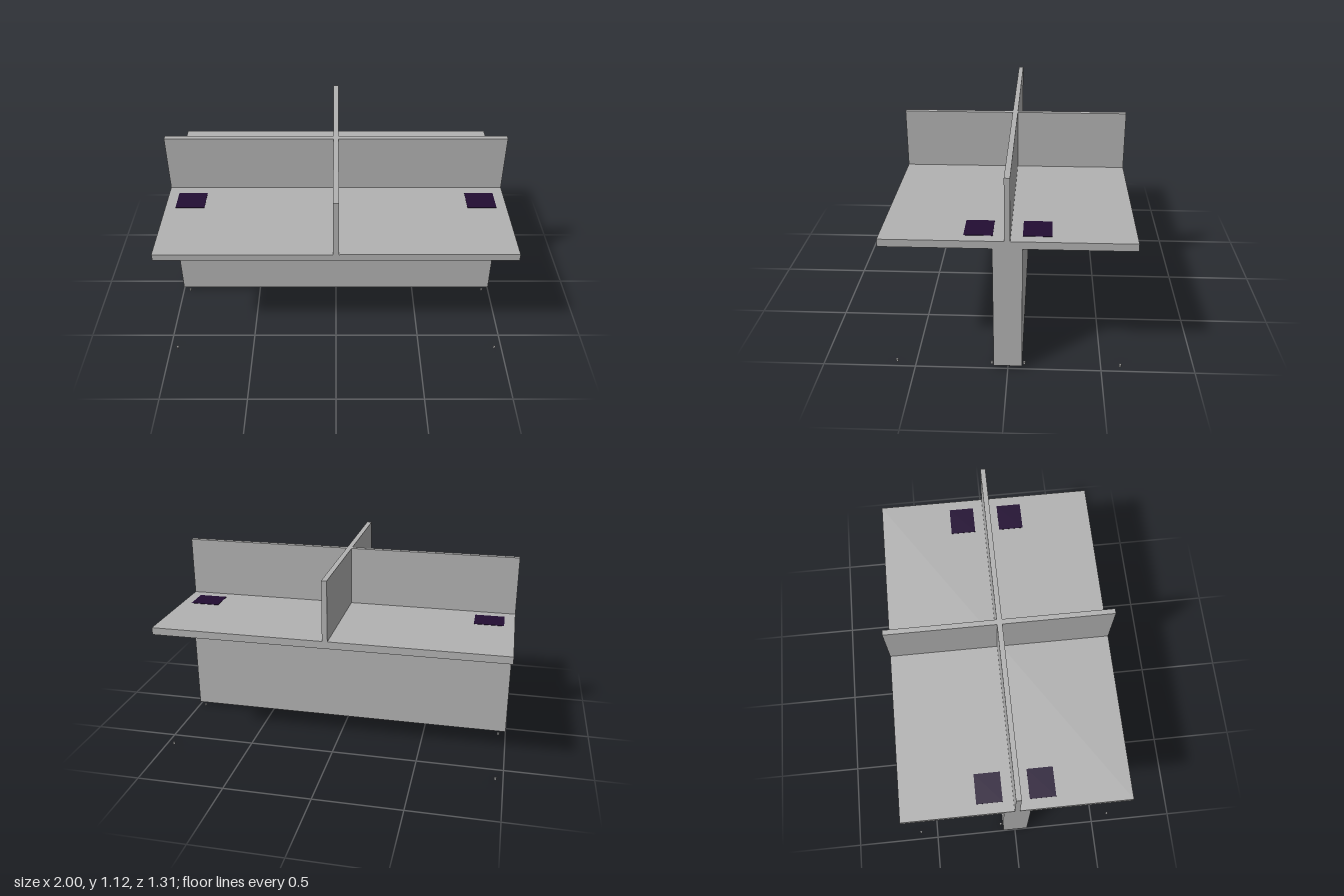
import * as THREE from 'three';

export function createModel() {
  const model = new THREE.Group();
  model.name = 'partitionedDesk';

  const grey = new THREE.MeshStandardMaterial({ color: 0xb2b2b2 });
  grey.name = 'grey';
  const purple = new THREE.MeshStandardMaterial({ color: 0x220d33 });
  purple.name = 'dark purple';

  // Adds a box given by its extents on each axis
  function box(name, [x0, x1], [y0, y1], [z0, z1], material = grey) {
    const mesh = new THREE.Mesh(new THREE.BoxGeometry(x1 - x0, y1 - y0, z1 - z0), material);
    mesh.position.set((x0 + x1) / 2, (y0 + y1) / 2, (z0 + z1) / 2);
    mesh.name = name;
    model.add(mesh);
  }

  const depth = 0.655, deskBottom = 0.73, deskTop = 0.772, height = 1.115, half = 0.015;

  // Central base and shared worktop
  box('base', [-1, 1], [0.018, deskBottom], [-0.076, 0.076]);
  box('worktop', [-1, 1], [deskBottom, deskTop], [-depth, depth]);

  // Crossed partitions, the short pair meeting the long one
  box('longPartition', [-1, 1], [deskTop, height], [-half, half]);
  box('frontPartition', [-half, half], [deskTop, height], [half, depth]);
  box('backPartition', [-half, half], [deskTop, height], [-depth, -half]);

  // Small triangular bracket profile
  const triangle = new THREE.Shape([
    new THREE.Vector2(-0.022, 0),
    new THREE.Vector2(0.012, -0.034),
    new THREE.Vector2(0.022, 0),
  ]);
  const bracketGeometry = new THREE.ExtrudeGeometry(triangle, { depth: 0.006, bevelEnabled: false });
  const mirroredTriangle = new THREE.Shape([
    new THREE.Vector2(-0.022, 0),
    new THREE.Vector2(-0.012, -0.034),
    new THREE.Vector2(0.022, 0),
  ]);
  const mirroredGeometry = new THREE.ExtrudeGeometry(mirroredTriangle, { depth: 0.006, bevelEnabled: false });

  for (const sx of [-1, 1]) {
    for (const sz of [-1, 1]) {
      // Dark cable panel on the worktop
      box('cablePanel', sx < 0 ? [-0.94, -0.77] : [0.77, 0.94], [deskTop, deskTop + 0.002],
        sz < 0 ? [-0.225, -0.076] : [0.076, 0.225], purple);

      // Bracket under the worktop against the base
      const bracket = new THREE.Mesh(sx < 0 ? bracketGeometry : mirroredGeometry, grey);
      bracket.position.set(sx * 0.958, deskBottom, sz > 0 ? 0.075 : -0.081);
      bracket.name = 'bracket';
      model.add(bracket);

      // Tiny levelling feet, near the base and below the worktop edge
      for (const z of [0.088, 0.605]) {
        const foot = new THREE.Mesh(new THREE.CylinderGeometry(0.007, 0.007, 0.014, 8), grey);
        foot.position.set(sx * 0.957, 0.007, sz * z);
        foot.name = 'foot';
        model.add(foot);
      }
    }
  }
  return model;
}
